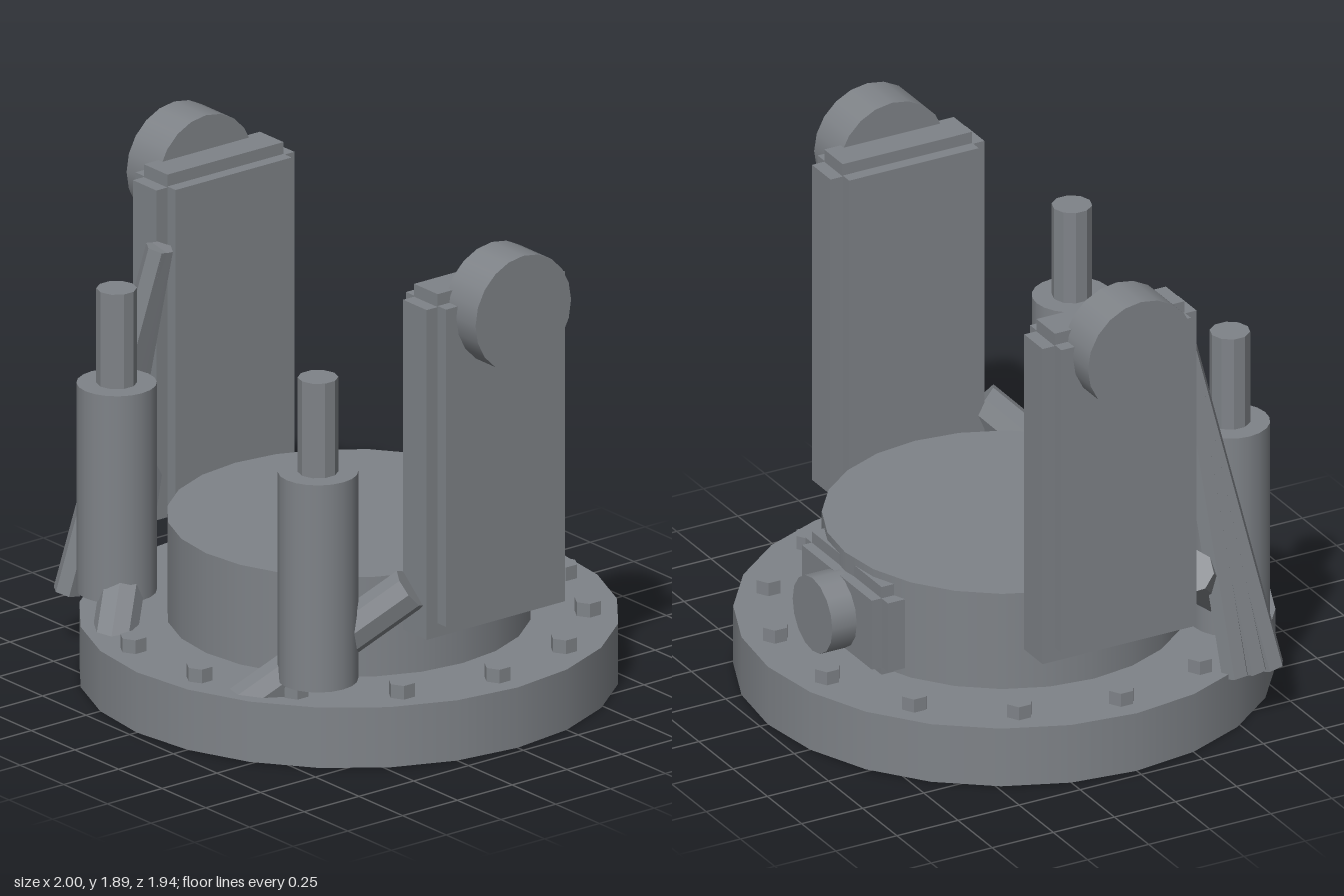
import * as THREE from 'three';

const smooth = new THREE.MeshStandardMaterial({ color: 0x7f8388 });
const flat = new THREE.MeshStandardMaterial({ color: 0x7f8388, flatShading: true });

function add(parent, name, geometry, material, x = 0, y = 0, z = 0) {
  const mesh = new THREE.Mesh(geometry, material);
  mesh.name = name;
  mesh.position.set(x, y, z);
  parent.add(mesh);
  return mesh;
}

// Upright cylinder between two heights
function post(parent, name, r, y0, y1, sides, x = 0, z = 0, material = smooth) {
  return add(parent, name, new THREE.CylinderGeometry(r, r, y1 - y0, sides), material, x, (y0 + y1) / 2, z);
}

// Box given by its lower and upper corners
function block(parent, name, [x0, y0, z0], [x1, y1, z1]) {
  return add(parent, name, new THREE.BoxGeometry(x1 - x0, y1 - y0, z1 - z0), flat,
    (x0 + x1) / 2, (y0 + y1) / 2, (z0 + z1) / 2);
}

// Faceted bar between two points
function strut(parent, name, from, to, r, sides) {
  const a = new THREE.Vector3(...from), b = new THREE.Vector3(...to);
  const dir = b.clone().sub(a);
  const mid = a.clone().add(b).multiplyScalar(0.5);
  const mesh = add(parent, name, new THREE.CylinderGeometry(r, r, dir.length(), sides), flat, mid.x, mid.y, mid.z);
  mesh.quaternion.setFromUnitVectors(new THREE.Vector3(0, 1, 0), dir.normalize());
  return mesh;
}

export function createModel() {
  const model = new THREE.Group();
  model.name = 'clampMount';

  // Round base and raised drum
  post(model, 'base', 0.968, 0, 0.23, 24);
  post(model, 'drum', 0.652, 0.23, 0.61, 24);

  // Ring of hexagonal bolts
  const bolts = new THREE.Group();
  bolts.name = 'baseBolts';
  model.add(bolts);
  for (let i = 0; i < 14; i++) {
    const a = (i / 14) * Math.PI * 2;
    post(bolts, 'bolt', 0.05, 0.22, 0.282, 6, 0.853 * Math.cos(a), 0.853 * Math.sin(a), flat);
  }

  for (const s of [1, -1]) {
    const side = s > 0 ? 'left' : 'right';

    // Side arm with stepped edges and a round pivot on the outside
    const arm = new THREE.Group();
    arm.name = side + 'Arm';
    model.add(arm);
    const xs = (a, b) => (s > 0 ? [a, b] : [-b, -a]);
    const [o0, o1] = xs(0.66, 0.89), [i0, i1] = xs(0.707, 0.842);
    block(arm, 'armBody', [o0, 0.5, -0.265], [o1, 1.71, 0.265]);
    block(arm, 'armEdges', [i0, 0.448, -0.315], [i1, 1.706, 0.315]);
    block(arm, 'armCap', [i0, 1.6, -0.265], [i1, 1.755, 0.265]);
    const pivot = add(arm, 'pivot', new THREE.CylinderGeometry(0.218, 0.218, 0.18, 20), smooth, s * 0.91, 1.668, 0);
    pivot.rotation.z = Math.PI / 2;

    // Front piston with a faceted rod
    const piston = new THREE.Group();
    piston.name = side + 'Piston';
    model.add(piston);
    post(piston, 'pistonSleeve', 0.144, 0.29, 1.08, 20, s * 0.577, 0.6);
    post(piston, 'pistonRod', 0.073, 1.08, 1.44, 10, s * 0.577, 0.6, flat);

    // Diagonal brace through the foot of the piston
    strut(model, side + 'Brace', [s * 0.37, 0.16, 0.785], [s * 0.775, 0.63, 0.335], 0.081, 8);
  }

  // Fan of thin rods beside the right arm
  const fan = new THREE.Group();
  fan.name = 'rodFan';
  model.add(fan);
  for (const z of [0.475, 0.55, 0.62]) {
    strut(fan, 'fanRod', [-0.837, 0.21, z], [-0.629, 1.522, 0.363], 0.052, 6);
  }

  // Rear housing with stepped edges and round cover
  const rear = new THREE.Group();
  rear.name = 'rearHousing';
  model.add(rear);
  block(rear, 'housingBody', [-0.255, 0.26, -0.685], [0.255, 0.535, -0.57]);
  block(rear, 'housingSides', [-0.302, 0.26, -0.645], [0.302, 0.535, -0.575]);
  block(rear, 'housingTop', [-0.255, 0.23, -0.645], [0.255, 0.58, -0.575]);
  const cover = add(rear, 'cover', new THREE.CylinderGeometry(0.145, 0.145, 0.12, 16), smooth, 0, 0.394, -0.725);
  cover.rotation.x = Math.PI / 2;

  return model;
}
